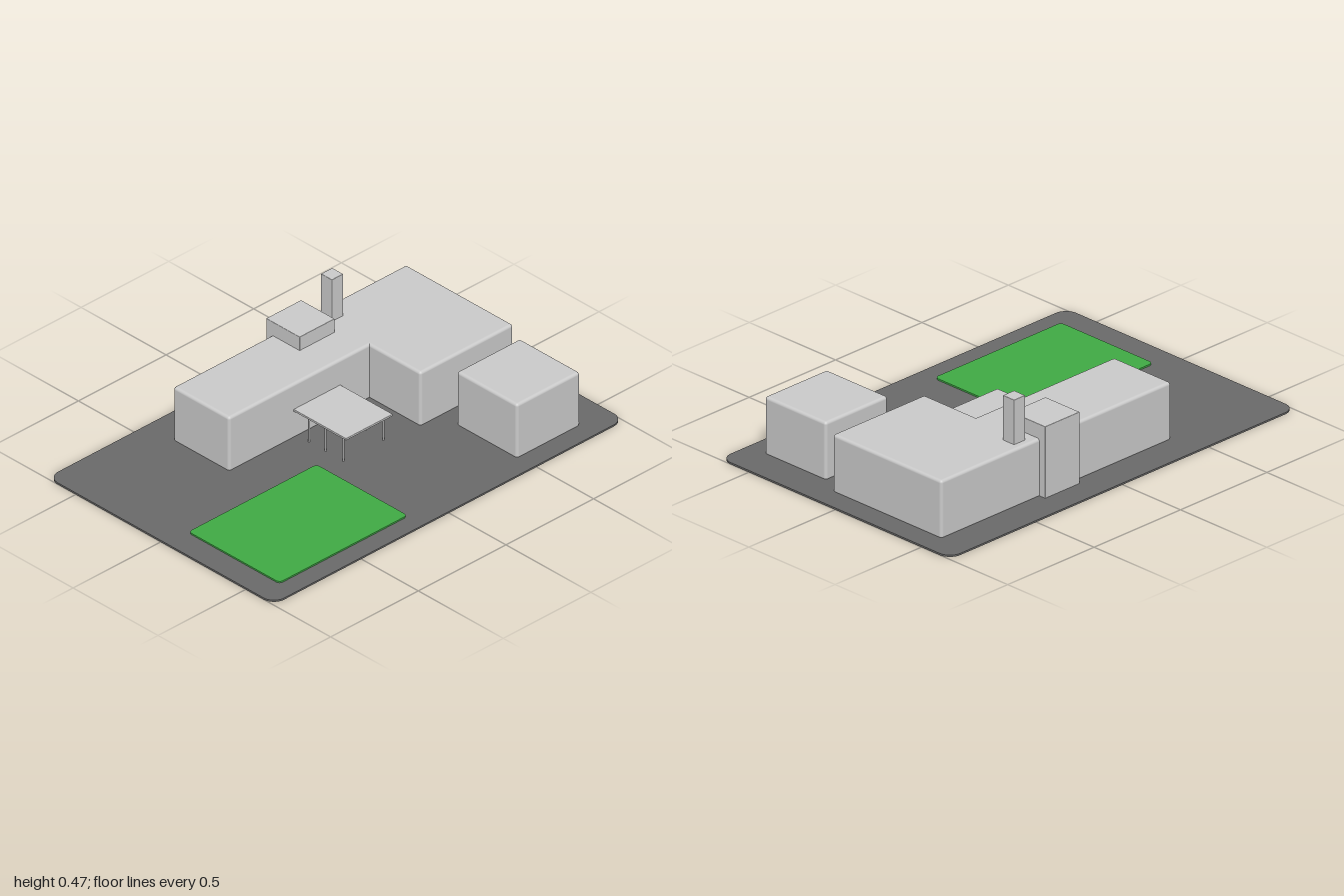
import * as THREE from 'three';
import { RoundedBoxGeometry } from 'three/addons/geometries/RoundedBoxGeometry.js';

const material = (color) => new THREE.MeshStandardMaterial({ color });

export function createModel() {
  const model = new THREE.Group();
  const grey = material(0xcccccc);
  const asphalt = material(0x6a6a6a);
  const grass = material(0x40ab45);

  const add = (name, geometry, mat) => {
    const mesh = new THREE.Mesh(geometry, mat);
    mesh.name = name;
    model.add(mesh);
    return mesh;
  };

  // Block with softened edges, given by its extents
  const block = (name, [x0, x1], [y0, y1], [z0, z1], radius) => {
    const geometry = new RoundedBoxGeometry(x1 - x0, y1 - y0, z1 - z0, 3, radius);
    add(name, geometry, grey).position.set((x0 + x1) / 2, (y0 + y1) / 2, (z0 + z1) / 2);
  };

  // Flat slab with rounded corners, lying on the ground plane
  const slab = (name, [x0, x1], [y0, y1], [z0, z1], r, mat) => {
    const w = (x1 - x0) / 2 - r;
    const d = (z1 - z0) / 2 - r;
    const shape = new THREE.Shape();
    [[w, d], [-w, d], [-w, -d], [w, -d]].forEach(([x, y], i) => {
      shape.absarc(x, y, r, i * Math.PI / 2, (i + 1) * Math.PI / 2, false);
    });
    shape.closePath();
    const geometry = new THREE.ExtrudeGeometry(shape, {
      depth: y1 - y0, bevelEnabled: false, curveSegments: 8,
    });
    geometry.rotateX(-Math.PI / 2);
    add(name, geometry, mat).position.set((x0 + x1) / 2, y0, (z0 + z1) / 2);
  };

  // Site and lawn
  slab('ground', [-0.665, 0.665], [0, 0.008], [-1, 1], 0.06, asphalt);
  slab('lawn', [0.04, 0.575], [0.004, 0.015], [0.15, 0.88], 0.02, grass);

  // L-shaped main building and detached block
  block('longWing', [-0.51, -0.18], [0.001, 0.267], [-0.895, 0.435], 0.013);
  block('backWing', [-0.51, 0.12], [0.001, 0.267], [-0.895, -0.365], 0.013);
  block('annex', [0.215, 0.57], [0.001, 0.267], [-0.84, -0.48], 0.013);

  // Stair tower and chimney
  block('stairTower', [-0.543, -0.345], [0.001, 0.333], [-0.327, -0.127], 0.003);
  block('chimney', [-0.476, -0.411], [0.2, 0.47], [-0.44, -0.375], 0.003);

  // Canopy on slim posts
  block('canopyRoof', [-0.185, 0.128], [0.134, 0.144], [-0.2, 0.067], 0.002);
  const postGeometry = new THREE.CylinderGeometry(0.004, 0.004, 0.13, 12);
  for (const x of [-0.112, -0.015, 0.09]) {
    for (const z of [0.045, -0.183]) {
      add('canopyPost', postGeometry, grey).position.set(x, 0.071, z);
    }
  }

  return model;
}
